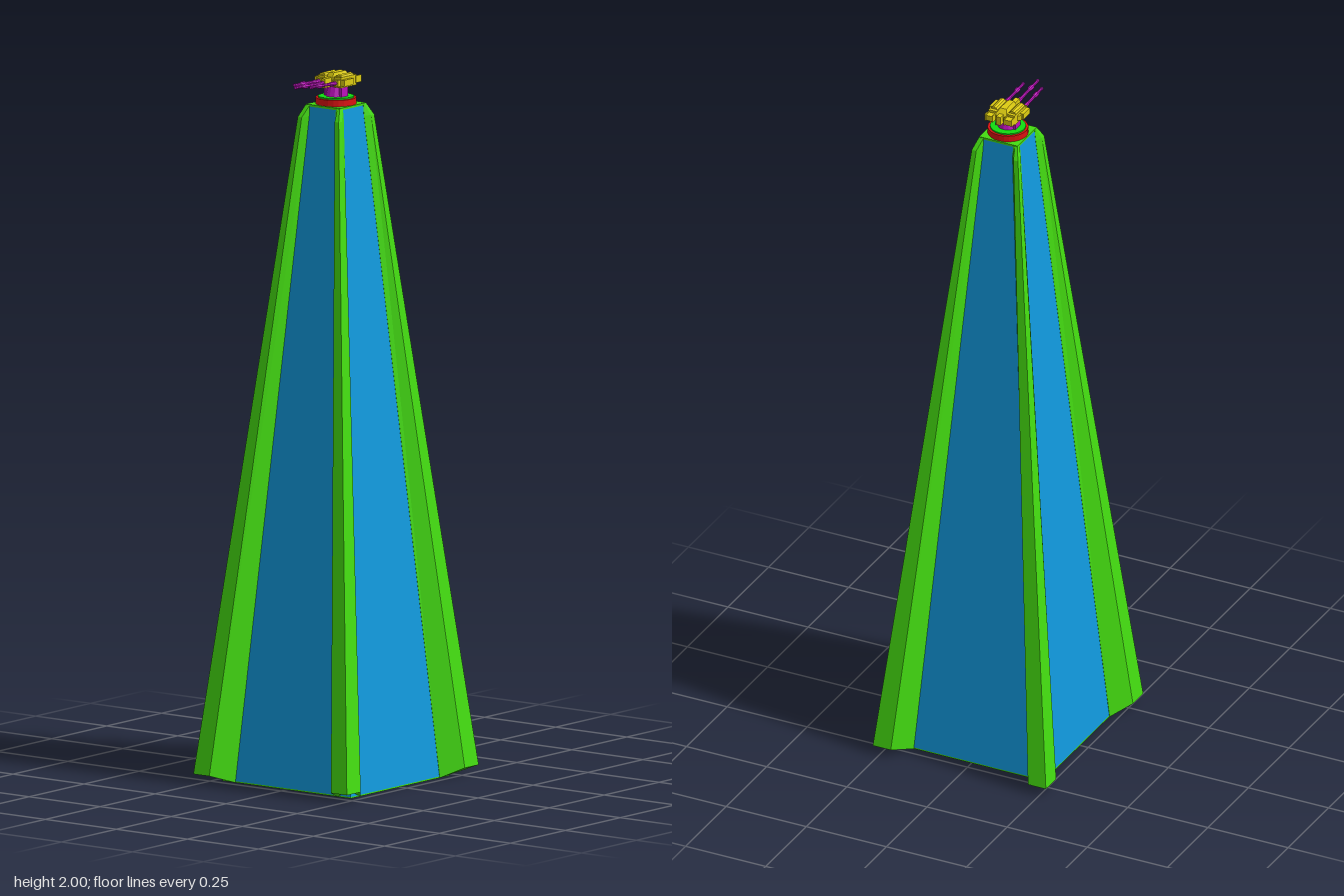
import * as THREE from 'three';

const mat = (color) => new THREE.MeshStandardMaterial({ color, flatShading: true, side: THREE.DoubleSide });
const BLUE = mat(0x1199dd), GREEN = mat(0x44dd11), RED = mat(0xdd1111);
const DECK = mat(0x11dd11), PURPLE = mat(0xbb11bb), YELLOW = mat(0xddcc11);

function add(parent, name, geometry, material, x = 0, y = 0, z = 0) {
  const mesh = new THREE.Mesh(geometry, material);
  mesh.name = name;
  mesh.position.set(x, y, z);
  parent.add(mesh);
  return mesh;
}

// Skin a stack of rings (counter-clockwise from above) and close both ends
function loft(rings) {
  const pos = [], n = rings[0].length;
  const tri = (a, b, c) => pos.push(...a, ...b, ...c);
  for (let r = 0; r < rings.length - 1; r++) {
    for (let i = 0; i < n; i++) {
      const j = (i + 1) % n, lo = rings[r], hi = rings[r + 1];
      tri(lo[i], lo[j], hi[j]);
      tri(lo[i], hi[j], hi[i]);
    }
  }
  const top = rings[rings.length - 1], bottom = rings[0];
  for (let i = 1; i < n - 1; i++) {
    tri(top[0], top[i], top[i + 1]);
    tri(bottom[0], bottom[i + 1], bottom[i]);
  }
  const g = new THREE.BufferGeometry();
  g.setAttribute('position', new THREE.Float32BufferAttribute(pos, 3));
  g.computeVertexNormals();
  return g;
}

const square = (h, y) => [[-h, y, h], [h, y, h], [h, y, -h], [-h, y, -h]];

// Corner rib: splayed foot, narrow head, bevelled tip
const ribRings = [
  [[0.18, 0, 0.18], [0.18, 0, 0.226], [0.214, 0.025, 0.3], [0.27, 0.025, 0.3], [0.27, 0.025, 0.237], [0.226, 0, 0.18]],
  [[0.045, 1.875, 0.045], [0.046, 1.875, 0.063], [0.058, 1.875, 0.081], [0.072, 1.875, 0.081], [0.072, 1.875, 0.066], [0.063, 1.875, 0.046]],
  [[0.045, 1.908, 0.045], [0.046, 1.908, 0.06], [0.052, 1.908, 0.061], [0.06, 1.908, 0.061], [0.06, 1.908, 0.052], [0.06, 1.908, 0.046]],
];

function rib(sx, sz) {
  return loft(ribRings.map((ring) => {
    const m = ring.map(([x, y, z]) => [x * sx, y, z * sz]);
    return sx * sz < 0 ? m.reverse() : m;
  }));
}

// Barrel along +z with a thicker sleeve and muzzle
function barrel(length) {
  const p = [[0, 0], [0.006, 0], [0.006, 0.2], [0.0045, 0.24], [0.0045, 0.56], [0.007, 0.6],
    [0.007, 0.72], [0.004, 0.76], [0.004, 0.94], [0.005, 0.95], [0.005, 1], [0, 1]];
  return new THREE.LatheGeometry(p.map(([r, t]) => new THREE.Vector2(r, t * length)), 8).rotateX(Math.PI / 2);
}

export function createModel() {
  const model = new THREE.Group();
  model.name = 'gunTower';

  // Tapered tower and its four ribs
  add(model, 'towerWalls', loft([square(0.225, 0.004), square(0.06, 1.904)]), BLUE);
  for (const sx of [-1, 1]) for (const sz of [-1, 1]) add(model, 'cornerRib', rib(sx, sz), GREEN);
  add(model, 'towerCap', new THREE.BoxGeometry(0.12, 0.006, 0.12), GREEN, 0, 1.907, 0);

  // Frame around the underside
  const frame = new THREE.Shape([[-1, -1], [1, -1], [1, 1], [-1, 1]].map(([x, y]) => new THREE.Vector2(x * 0.225, y * 0.225)));
  frame.holes.push(new THREE.Path([[-1, -1], [-1, 1], [1, 1], [1, -1]].map(([x, y]) => new THREE.Vector2(x * 0.18, y * 0.18))));
  add(model, 'baseFrame', new THREE.ExtrudeGeometry(frame, { depth: 0.004, bevelEnabled: false }).rotateX(-Math.PI / 2), GREEN);

  // Turntable
  const ring = [[0.05, 1.908], [0.057, 1.908], [0.057, 1.928], [0.05, 1.928], [0.05, 1.908]];
  add(model, 'turntableRing', new THREE.LatheGeometry(ring.map(([r, y]) => new THREE.Vector2(r, y)), 24), RED);
  add(model, 'turntableDeck', new THREE.CylinderGeometry(0.05, 0.05, 0.022, 24), DECK, 0, 1.921, 0);

  // Pedestal with mounting arms
  add(model, 'pedestal', new THREE.CylinderGeometry(0.022, 0.03, 0.03, 12), PURPLE, 0, 1.945, 0);
  for (const s of [-1, 1]) add(model, 'mountArm', new THREE.BoxGeometry(0.008, 0.032, 0.03), PURPLE, s * 0.027, 1.948, 0);

  // Gun head
  const head = new THREE.Group();
  head.name = 'gunHead';
  head.position.y = 1.975;
  model.add(head);
  const hull = new THREE.Shape([[-0.02, 0.045], [0.02, 0.045], [0.05, 0.015], [0.05, -0.03], [-0.05, -0.03], [-0.05, 0.015]]
    .map(([x, y]) => new THREE.Vector2(x, y)));
  add(head, 'hull', new THREE.ExtrudeGeometry(hull, { depth: 0.015, bevelEnabled: false }).rotateX(-Math.PI / 2), YELLOW, 0, -0.007, 0);
  add(head, 'centreHousing', new THREE.BoxGeometry(0.014, 0.026, 0.12), YELLOW, 0, 0, 0);
  add(head, 'centreCover', loft([
    [[-0.012, 0.008, 0.03], [0.012, 0.008, 0.03], [0.018, 0.008, -0.045], [-0.018, 0.008, -0.045]],
    [[-0.008, 0.025, 0.022], [0.008, 0.025, 0.022], [0.01, 0.025, -0.03], [-0.01, 0.025, -0.03]],
  ]), YELLOW);
  add(head, 'centreBarrel', barrel(0.13), PURPLE, 0, 0, 0.055).rotation.x = -0.04;

  for (const s of [-1, 1]) {
    add(head, 'sideHousing', new THREE.BoxGeometry(0.024, 0.03, 0.07), YELLOW, s * 0.029, 0.001, -0.005);
    add(head, 'sideCover', new THREE.CylinderGeometry(0.012, 0.012, 0.055, 10).rotateX(Math.PI / 2), YELLOW, s * 0.029, 0.011, -0.002);
    add(head, 'sideCollar', new THREE.BoxGeometry(0.02, 0.018, 0.012), YELLOW, s * 0.029, 0, 0.035);
    add(head, 'sidePod', new THREE.BoxGeometry(0.01, 0.018, 0.04), YELLOW, s * 0.048, 0.001, 0.01);
    add(head, 'rearBlock', new THREE.BoxGeometry(0.022, 0.016, 0.022), YELLOW, s * 0.029, 0.001, -0.049);
    for (const x of [0.018, 0.04]) add(head, 'rearFin', new THREE.BoxGeometry(0.003, 0.02, 0.025), YELLOW, s * x, 0.002, -0.049);
    add(head, 'sideBarrel', barrel(0.112), PURPLE, s * 0.029, 0, 0.04).rotation.x = -0.04;
  }
  return model;
}
